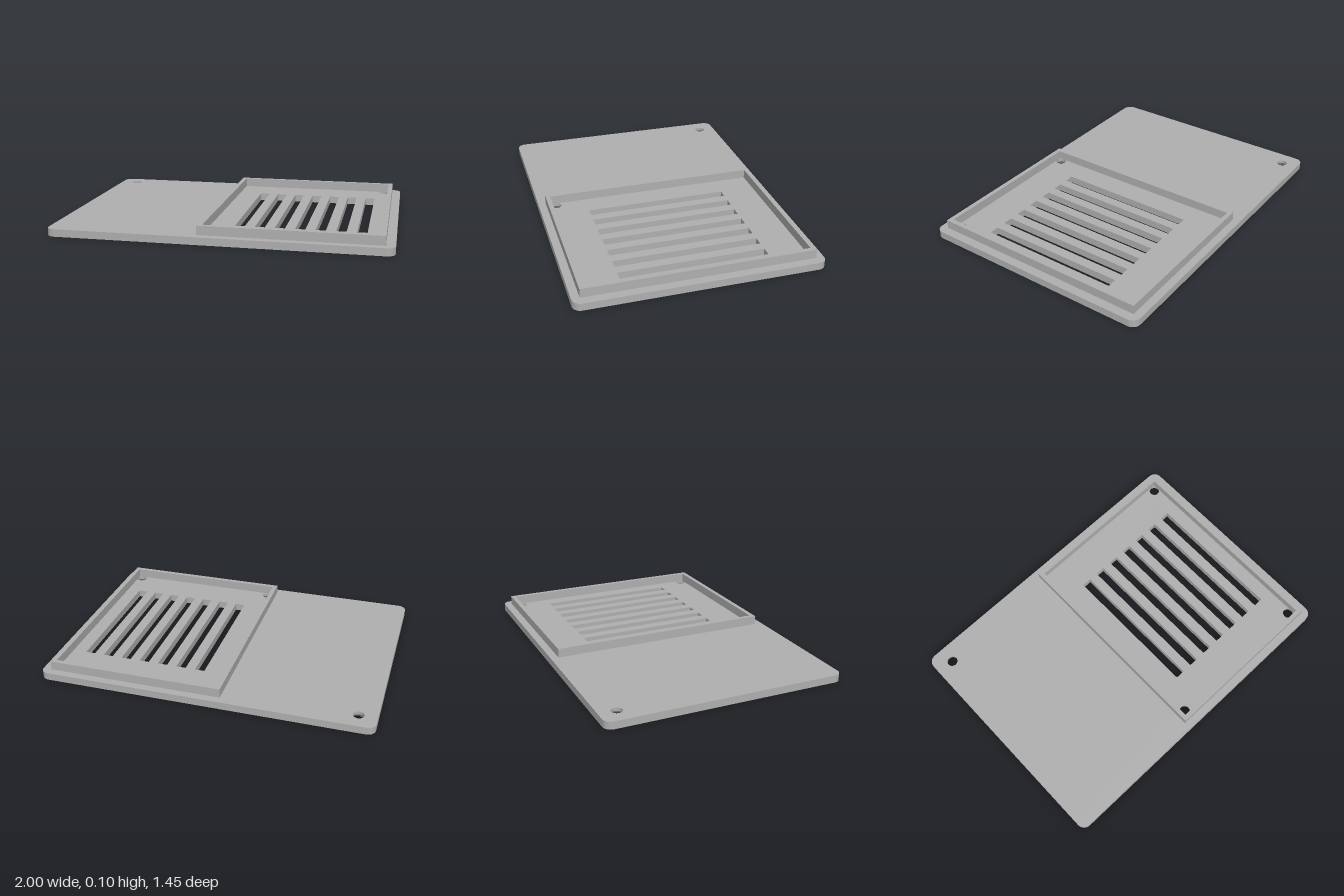
import * as THREE from 'three';
import { toCreasedNormals } from 'three/addons/utils/BufferGeometryUtils.js';

const TAU = Math.PI * 2;
const THICK = 0.045, RIM_TOP = 0.1;
const HOLE_R = 0.032, SINK_R = 0.05, SINK_DEPTH = 0.026;
const PAD_R = 0.092, PAD_DEPTH = 0.013;

// Radius of a countersink at a height above the underside
const sinkRadius = h => THREE.MathUtils.lerp(SINK_R, HOLE_R, h / SINK_DEPTH);

function arc(c, r, from, to, n) {
  return Array.from({ length: n }, (_, i) => {
    const t = from + (to - from) * i / n;
    return new THREE.Vector2(c.x + r * Math.cos(t), c.y + r * Math.sin(t));
  });
}
const circle = (c, r) => arc(c, r, 0, TAU, 48);

function rect(x0, x1, y0, y1) {
  return [[x0, y0], [x1, y0], [x1, y1], [x0, y1]].map(p => new THREE.Vector2(...p));
}

// Counter-clockwise outline with rounded corners
function roundedRect(hx, hy, r) {
  return [[1, 1], [-1, 1], [-1, -1], [1, -1]].flatMap(([sx, sy], i) => {
    const c = new THREE.Vector2(sx * (hx - r), sy * (hy - r));
    const a = i * Math.PI / 2;
    return [...arc(c, r, a, a + Math.PI / 2, 8),
      new THREE.Vector2(c.x + r * Math.cos(a + Math.PI / 2), c.y + r * Math.sin(a + Math.PI / 2))];
  });
}

// Pad recess joined with (or, if cut is set, reduced by) an overlapping countersink
function padOutline(pad, hole, r, cut) {
  const d = pad.distanceTo(hole);
  const t = Math.atan2(hole.y - pad.y, hole.x - pad.x);
  const a = Math.acos((d * d + PAD_R * PAD_R - r * r) / (2 * d * PAD_R));
  const b = Math.acos((d * d + r * r - PAD_R * PAD_R) / (2 * d * r));
  const start = t + Math.PI + b;
  const end = cut ? t + Math.PI - b : t + 3 * Math.PI - b;
  return [...arc(pad, PAD_R, t + a, t + TAU - a, 40), ...arc(hole, r, start, end, 28)];
}

// Wall between two matching loops, facing inward unless outward is set
function wall(low, h0, high, h1, outward = false) {
  const pos = [];
  low.forEach((p, i) => {
    const j = (i + 1) % low.length;
    const a = [p.x, p.y, h0], b = [low[j].x, low[j].y, h0];
    const c = [high[j].x, high[j].y, h1], d = [high[i].x, high[i].y, h1];
    pos.push(...(outward ? [a, b, c, a, c, d] : [a, c, b, a, d, c]).flat());
  });
  const g = new THREE.BufferGeometry();
  g.setAttribute('position', new THREE.Float32BufferAttribute(pos, 3));
  return toCreasedNormals(g, 0.5);
}

// Flat face with holes at a given height
function face(outline, holes, h, down = false) {
  const shape = new THREE.Shape(outline);
  shape.holes = holes.map(p => new THREE.Path(p));
  const g = new THREE.ShapeGeometry(shape);
  if (down) {
    g.index.array.reverse();
    g.computeVertexNormals();
  }
  return g.translate(0, 0, h);
}

export function createModel() {
  const grey = new THREE.MeshStandardMaterial({ color: 0xb0b0b0, side: THREE.DoubleSide });
  grey.name = 'plain grey';
  const model = new THREE.Group();
  model.name = 'ventedCover';
  // Parts are drawn flat, then laid down so that depth points up
  const flat = new THREE.Group();
  flat.name = 'cover';
  flat.rotation.x = -Math.PI / 2;
  model.add(flat);
  const add = (name, geometry) => {
    const mesh = new THREE.Mesh(geometry, grey);
    mesh.name = name;
    flat.add(mesh);
  };

  const outline = roundedRect(1, 0.725, 0.05);
  const topHoles = [], bottomHoles = [];

  // Vent slots
  for (let i = 0; i < 7; i++) {
    const x = 0.0935 + i * 0.1187;
    const slot = rect(x - 0.0295, x + 0.0295, -0.435, 0.435);
    topHoles.push(slot);
    bottomHoles.push(slot);
    add('ventSlotWall', wall(slot, 0, slot, THICK));
  }

  // Screw holes: countersunk from below, some running into a corner pad recess
  const V = (x, y) => new THREE.Vector2(x, y);
  const corners = [
    { hole: V(0.892, 0.62), pad: V(0.81, 0.535) },
    { hole: V(-0.892, 0.62), pad: V(-0.81, 0.535) },
    { hole: V(0.892, -0.62), pad: V(0.81, -0.535) },
    { hole: V(-0.052, -0.62) },
    { pad: V(-0.81, -0.535) },
  ];
  for (const { hole, pad } of corners) {
    const base = pad ? PAD_DEPTH : 0;
    if (hole) {
      const bore = circle(hole, HOLE_R);
      topHoles.push(bore);
      add('screwHole', wall(bore, SINK_DEPTH, bore, THICK));
      add('countersink', wall(circle(hole, sinkRadius(base)), base, bore, SINK_DEPTH));
    }
    const mouth = h => !pad ? circle(hole, sinkRadius(h))
      : hole ? padOutline(pad, hole, sinkRadius(h), false) : circle(pad, PAD_R);
    bottomHoles.push(mouth(0));
    if (pad) {
      add('padRecessWall', wall(mouth(0), 0, mouth(base), base));
      const ceiling = hole ? padOutline(pad, hole, sinkRadius(base), true) : circle(pad, PAD_R);
      add('padRecess', face(ceiling, [], base, true));
    }
  }

  // Base plate
  add('plateTop', face(outline, topHoles, THICK));
  add('plateUnderside', face(outline, bottomHoles, 0, true));
  add('plateEdge', wall(outline, 0, outline, THICK, true));

  // Raised rim around the vents
  const rim = new THREE.Shape(rect(-0.108, 0.947, -0.678, 0.678));
  rim.holes.push(new THREE.Path(rect(-0.08, 0.919, -0.65, 0.65)));
  const rimGeometry = new THREE.ExtrudeGeometry(rim, { depth: RIM_TOP - THICK, bevelEnabled: false });
  add('rim', rimGeometry.translate(0, 0, THICK));

  return model;
}
